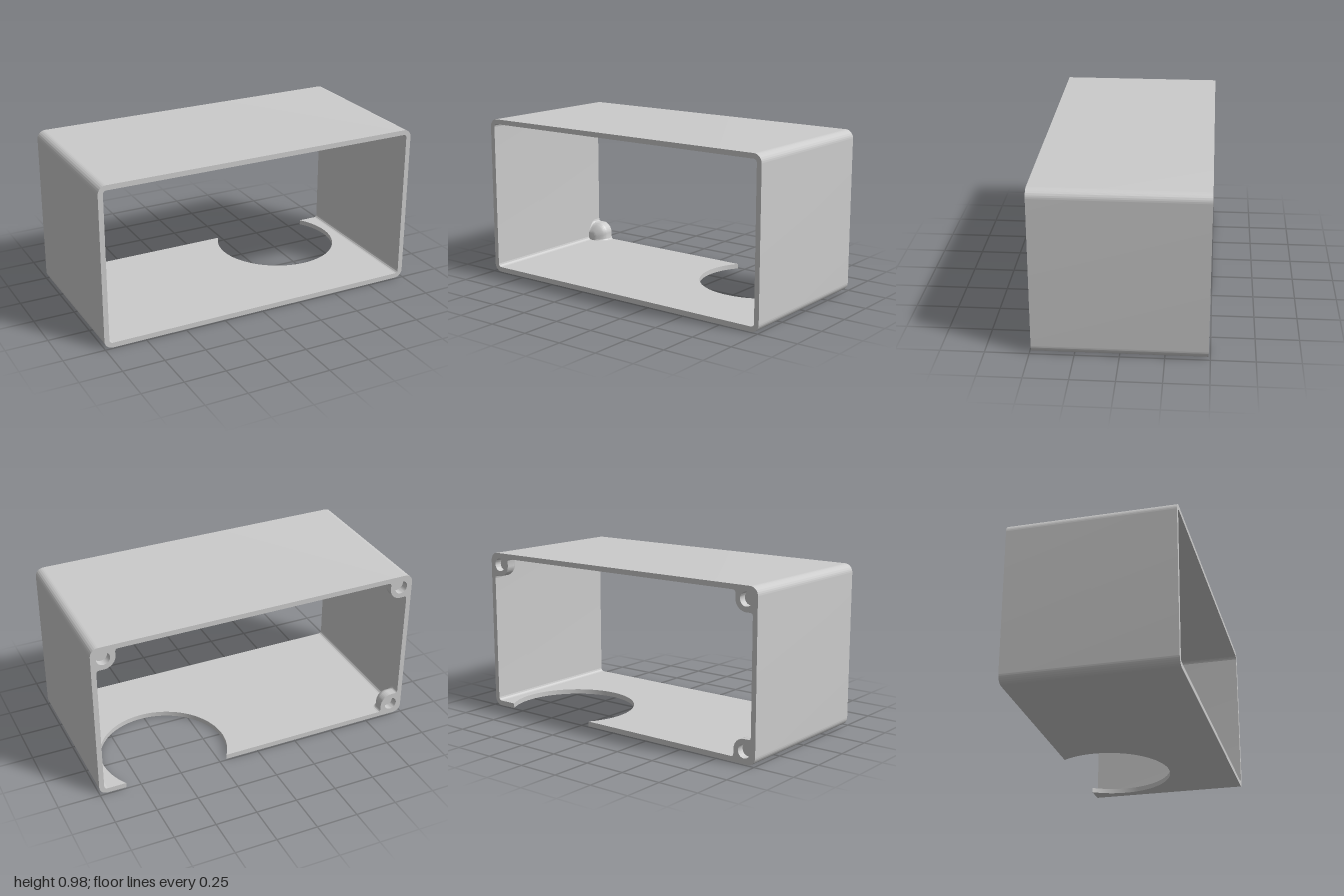
import * as THREE from 'three';
import { toCreasedNormals } from 'three/addons/utils/BufferGeometryUtils.js';

const W = 1, H = 0.98, D = 0.49;   // half width, height, half depth
const T = 0.03;                    // wall thickness
const FLOOR = 0.95;                // half width of the flat floor panel
const material = new THREE.MeshStandardMaterial({ color: 0xcccccc, side: THREE.DoubleSide });

function mesh(name, geometry) {
  const m = new THREE.Mesh(toCreasedNormals(geometry, 0.6), material);
  m.name = name;
  return m;
}

const extrude = (shape, depth, steps = 1) =>
  new THREE.ExtrudeGeometry(shape, { depth, steps, bevelEnabled: false, curveSegments: 16 });

// Side walls, roof and rounded bottom corners: one C-shaped section run front to back
function createShell() {
  const R = 0.05, r = R - T, q = Math.PI / 2;
  const s = new THREE.Shape();
  s.moveTo(FLOOR, 0);
  s.absarc(W - R, R, R, -q, 0, false);
  s.absarc(W - R, H - R, R, 0, q, false);
  s.absarc(R - W, H - R, R, q, 2 * q, false);
  s.absarc(R - W, R, R, 2 * q, 3 * q, false);
  s.lineTo(-FLOOR, T);
  s.absarc(R - W, R, r, 3 * q, 2 * q, true);
  s.absarc(R - W, H - R, r, 2 * q, q, true);
  s.absarc(W - R, H - R, r, q, 0, true);
  s.absarc(W - R, R, r, 0, -q, true);
  s.closePath();
  return mesh('shell', extrude(s, 2 * D).translate(0, 0, -D));
}

// Floor panel with a round cutout open to the back edge
function createFloor() {
  const cx = 0.52, cz = 0.28, r = 0.38;
  const a = Math.asin((D - cz) / r);
  const s = new THREE.Shape();
  s.moveTo(-FLOOR, -D);
  s.lineTo(FLOOR, -D);
  s.lineTo(FLOOR, D);
  s.absarc(cx, cz, r, a, -Math.PI - a, true);
  s.lineTo(-FLOOR, D);
  s.closePath();
  const g = new THREE.ExtrudeGeometry(s, { depth: T, bevelEnabled: false, curveSegments: 64 });
  return mesh('floor', g.rotateX(-Math.PI / 2));
}

// Boss section, measured from the inner corner of the box, with fillets to both walls
function bossShape() {
  const e = -0.008, c = 0.043, R = 0.07, f = 0.018, o = c + R;
  const s = new THREE.Shape();
  s.moveTo(e, e);
  s.lineTo(o + f, e);
  s.lineTo(o + f, 0);
  s.quadraticCurveTo(o, 0, o, f);
  s.lineTo(o, c);
  s.absarc(c, c, R, 0, Math.PI / 2, false);
  s.lineTo(f, o);
  s.quadraticCurveTo(0, o, 0, o + f);
  s.lineTo(e, o + f);
  s.closePath();
  return s;
}

// Screw boss: drilled base at the back, domed end tapering into the corner
function createBoss(name, x, y, turn) {
  const base = 0.045, cap = 0.065;
  const drilled = bossShape();
  drilled.holes.push(new THREE.Path().absarc(0.043, 0.043, 0.04, 0, Math.PI * 2, true));
  const capGeometry = extrude(bossShape(), cap, 8);
  const p = capGeometry.attributes.position;
  for (let i = 0; i < p.count; i++) {
    const t = p.getZ(i) / cap;
    const k = 1 - 0.55 * t * t;
    p.setXY(i, p.getX(i) * k, p.getY(i) * k);
  }
  const boss = new THREE.Group();
  boss.name = name;
  boss.add(mesh('bossBase', extrude(drilled, base)));
  boss.add(mesh('bossCap', capGeometry.translate(0, 0, base)));
  boss.position.set(x, y, -D);
  boss.rotation.z = turn;
  return boss;
}

export function createModel() {
  const model = new THREE.Group();
  model.name = 'openEnclosure';
  model.add(createShell(), createFloor());
  const x = W - T, top = H - T;
  model.add(createBoss('bottomRightBoss', -x, T, 0));
  model.add(createBoss('topRightBoss', -x, top, -Math.PI / 2));
  model.add(createBoss('topLeftBoss', x, top, Math.PI));
  return model;
}
